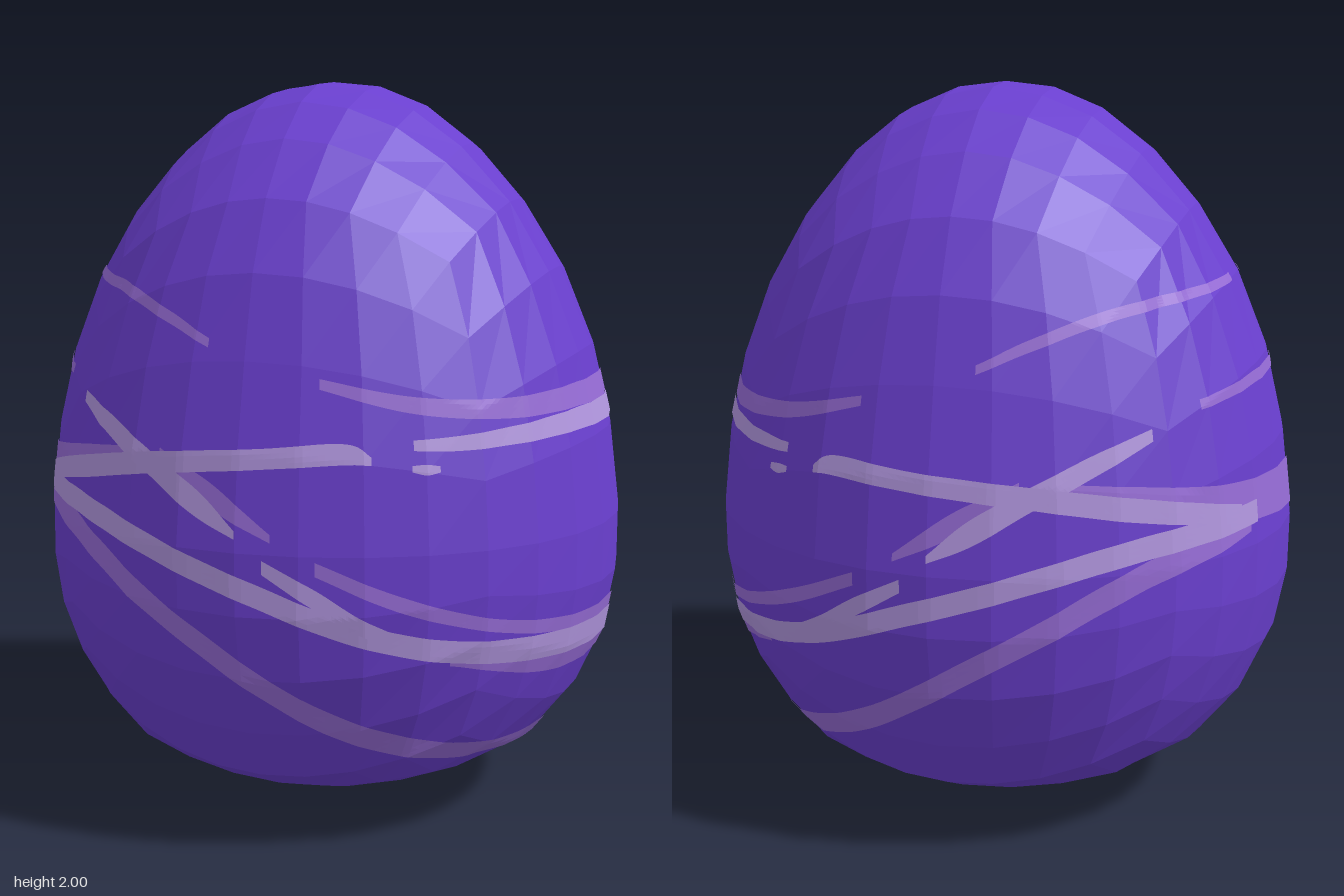
import * as THREE from 'three';

// Egg profile sampled every 11.25 degrees from the top pole to the bottom pole
const HEIGHT = [2, 1.985, 1.93, 1.83, 1.68, 1.5, 1.29, 1.07, 0.83, 0.67, 0.5, 0.34, 0.2, 0.12, 0.05, 0.012, 0];
const SWELL = [0.69, 0.69, 0.705, 0.72, 0.75, 0.776, 0.795, 0.805, 0.82, 0.836, 0.855, 0.866, 0.863, 0.83, 0.785, 0.67, 0.67];

const sample = (table, f) => {
  const i = Math.min(Math.floor(f), table.length - 2);
  return THREE.MathUtils.lerp(table[i], table[i + 1], f - i);
};

// Depth is slightly less than width around the middle
const depthRatio = (y) =>
  1 - 0.07 * THREE.MathUtils.smoothstep(y, 0.12, 0.4) * (1 - THREE.MathUtils.smoothstep(y, 1.3, 1.7));

// Half width of the egg at a height
function halfWidth(y) {
  let i = 0;
  while (i < 15 && HEIGHT[i + 1] > y) i++;
  const f = i + (HEIGHT[i] - y) / (HEIGHT[i] - HEIGHT[i + 1]);
  return sample(SWELL, f) * Math.sin((f * Math.PI) / 16);
}

// Cube grid blown up to a sphere, then reshaped to the egg profile
function eggGeometry() {
  const box = new THREE.BoxGeometry(2, 2, 2, 8, 8, 8);
  const p = box.attributes.position;
  const v = new THREE.Vector3();
  const bulge = (c) => Math.tan((c * Math.PI) / 4);
  for (let i = 0; i < p.count; i++) {
    v.fromBufferAttribute(p, i);
    v.set(bulge(v.x), bulge(v.y), bulge(v.z)).normalize();
    const f = (Math.acos(THREE.MathUtils.clamp(v.y, -1, 1)) / Math.PI) * 16;
    const y = sample(HEIGHT, f), s = sample(SWELL, f);
    p.setXYZ(i, v.x * s, y, v.z * s * depthRatio(y));
  }
  const flat = box.toNonIndexed();
  flat.clearGroups();
  flat.computeVertexNormals();
  return flat;
}

// Thin ribbon laid on the shell; points are [x, y, thickness], |x| = 1 reaches the side seam
function ribbon(shell, points, lift, side) {
  const curve = new THREE.CatmullRomCurve3(points.map(([x, y, w]) =>
    new THREE.Vector3(Math.asin(THREE.MathUtils.clamp(x / halfWidth(y), -1, 1)), y, w)), false, 'centripetal');
  const ALONG = 70, ACROSS = 4;
  const ray = new THREE.Raycaster();
  const pos = [], index = [];
  for (let i = 0; i <= ALONG; i++) {
    const c = curve.getPoint(i / ALONG);
    for (let j = 0; j <= ACROSS; j++) {
      const y = c.y + (j / ACROSS - 0.5) * c.z;
      const out = new THREE.Vector3(Math.sin(c.x), 0, Math.cos(c.x) * depthRatio(y) * side).normalize();
      ray.set(out.clone().multiplyScalar(2).setY(y), out.clone().negate());
      const hit = ray.intersectObject(shell)[0].point.addScaledVector(out, lift);
      pos.push(hit.x, hit.y, hit.z);
      if (i < ALONG && j < ACROSS) {
        const a = i * (ACROSS + 1) + j, b = a + ACROSS + 1;
        if (side > 0) index.push(a, b, b + 1, a, b + 1, a + 1);
        else index.push(a, b + 1, b, a, a + 1, b + 1);
      }
    }
  }
  const g = new THREE.BufferGeometry();
  g.setAttribute('position', new THREE.Float32BufferAttribute(pos, 3));
  g.setIndex(index);
  const flat = g.toNonIndexed();
  flat.computeVertexNormals();
  return flat;
}

export function createModel() {
  const group = new THREE.Group();
  const paint = (name, color) => {
    const m = new THREE.MeshStandardMaterial({ color });
    m.name = name;
    return m;
  };
  const purple = paint('purple', 0x6a3fcf);
  const lilac = paint('lilac', 0x966cd6);
  const paleLilac = paint('paleLilac', 0xb196df);

  const shell = new THREE.Mesh(eggGeometry(), purple);
  shell.name = 'eggShell';
  group.add(shell);

  // Scratches in the softer tone
  const soft = {
    upperScratch: [[-0.638, 1.5, 0.02], [-0.4, 1.45, 0.028], [-0.22, 1.385, 0.028], [-0.1, 1.33, 0.022]],
    shortScratch: [[-1, 1.26, 0.03], [-0.72, 1.25, 0.03], [-0.61, 1.22, 0.025]],
    crossShadow: [[-0.22, 1.05, 0.04], [-0.06, 0.96, 0.06], [0.09, 0.87, 0.02]],
    sideBandTop: [[0.19, 1.24, 0.025], [0.4, 1.19, 0.04], [0.6, 1.17, 0.05], [0.74, 1.18, 0.06], [1, 1.185, 0.065]],
    lowerBandTop: [[0.2, 0.8, 0.035], [0.4, 0.71, 0.04], [0.6, 0.635, 0.035], [0.75, 0.595, 0.04], [1, 0.585, 0.045]],
    lowerBandEdge: [[0.5, 0.55, 0.02], [0.7, 0.5, 0.06], [1, 0.485, 0.06]],
    bottomSweep: [[-0.74, 0.9, 0.06], [-0.5, 0.815, 0.07], [-0.2, 0.645, 0.07], [0.2, 0.39, 0.07], [0.4, 0.295, 0.06], [0.56, 0.245, 0.05], [1, 0.25, 0.05]],
    meetingPatch: [[-1, 0.93, 0.13], [-0.7, 0.96, 0.1], [-0.45, 1.02, 0.06], [-0.3, 1.04, 0.05]],
  };
  // Scratches in the bright tone
  const bright = {
    crossScratch: [[-0.51, 1.165, 0.03], [-0.4, 1.11, 0.05], [-0.25, 1.03, 0.06], [-0.1, 0.94, 0.065], [0, 0.875, 0.02]],
    middleScratch: [[-0.72, 0.925, 0.05], [-0.5, 0.985, 0.06], [-0.25, 1.03, 0.055], [0.05, 1.06, 0.05], [0.28, 1.075, 0.045], [0.32, 1.06, 0.02]],
    longSweep: [[-0.75, 0.92, 0.06], [-0.45, 0.88, 0.06], [0, 0.745, 0.06], [0.3, 0.635, 0.06], [0.5, 0.58, 0.06], [0.7, 0.55, 0.07], [1, 0.535, 0.07]],
    branchScratch: [[0.07, 0.8, 0.035], [0.2, 0.725, 0.05], [0.3, 0.66, 0.045], [0.4, 0.61, 0.03]],
    sideBandLow: [[0.41, 1.095, 0.025], [0.5, 1.095, 0.035], [0.63, 1.105, 0.045], [0.74, 1.12, 0.055], [1, 1.125, 0.06]],
    sideDab: [[0.41, 1.04, 0.015], [0.44, 1.037, 0.025], [0.47, 1.037, 0.015]],
  };

  // Each scratch repeats on front and back
  const addScratches = (set, material, lift) => {
    for (const [name, points] of Object.entries(set)) {
      for (const side of [1, -1]) {
        const mesh = new THREE.Mesh(ribbon(shell, points, lift, side), material);
        mesh.name = name + (side > 0 ? 'Front' : 'Back');
        group.add(mesh);
      }
    }
  };
  addScratches(soft, lilac, 0.004);
  addScratches(bright, paleLilac, 0.006);
  return group;
}
